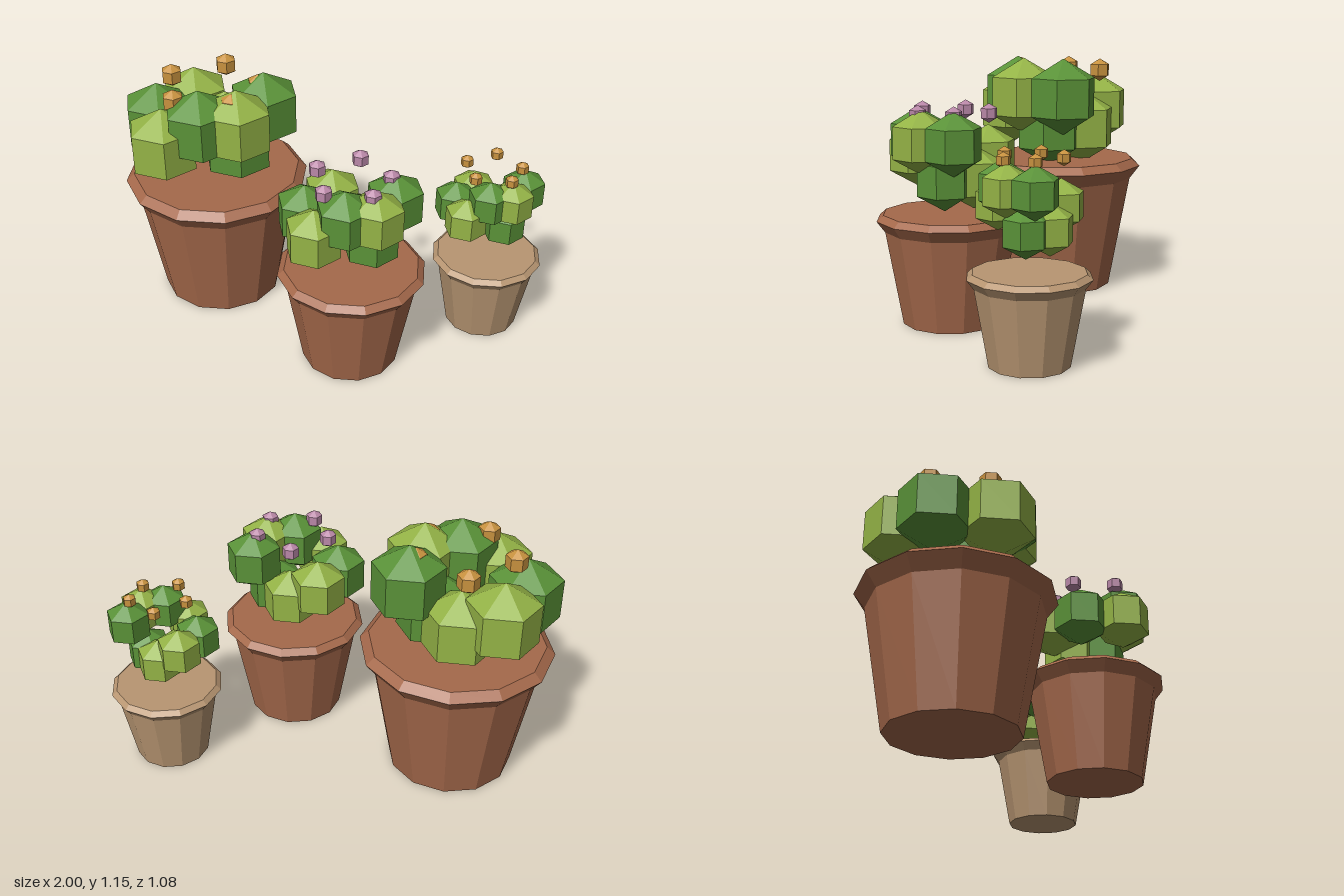
import * as THREE from 'three';

const mat = (name, color) => {
  const m = new THREE.MeshStandardMaterial({ color });
  m.name = name;
  return m;
};

// Faceted copy of a geometry: one normal per face
function faceted(geometry) {
  const g = geometry.toNonIndexed();
  g.computeVertexNormals();
  return g;
}

export function createModel() {
  const terracotta = mat('terracotta', 0xa5694b);
  const sandstone = mat('sandstone', 0xb8967240 >>> 8);
  const darkLeaf = mat('dark leaf', 0x5a9238);
  const lightLeaf = mat('light leaf', 0x94b346);
  const orange = mat('orange petal', 0xc8923f);
  const mauve = mat('mauve petal', 0xba88a8);

  // Closed twelve-sided pot with a bevelled rim, at full size
  const potGeometry = faceted(new THREE.LatheGeometry([
    [0, 0], [0.287, 0], [0.386, 0.55], [0.435, 0.615], [0.396, 0.65], [0, 0.65],
  ].map(([x, y]) => new THREE.Vector2(x, y)), 12));

  const clumpGeometry = faceted(new THREE.SphereGeometry(0.185, 6, 3));
  const budGeometry = faceted(new THREE.SphereGeometry(0.056, 6, 3));

  // Leaf clumps: x and z (scaled with the pot), drop below the top tier, colour
  const clumps = [
    [-0.187, -0.177, 0.088, lightLeaf],
    [-0.275, 0.035, 0.088, darkLeaf],
    [-0.137, 0.25, 0.088, lightLeaf],
    [0.018, 0.185, 0, darkLeaf],
    [0.175, 0.12, 0, lightLeaf],
    [0.22, -0.085, 0, darkLeaf],
    [-0.01, -0.138, 0.166, lightLeaf],
    [0.115, 0, 0.166, darkLeaf],
  ];

  // Five buds spaced round a ring
  const buds = [[-0.035, -0.222], [-0.224, -0.03], [-0.1, 0.197], [0.162, 0.14], [0.195, -0.08]];

  function pottedPlant(name, x, z, size, clay, petal, leafY, budY) {
    const plant = new THREE.Group();
    plant.name = name;
    plant.position.set(x, 0, z);
    const add = (part, geometry, material, px, py, pz) => {
      const mesh = new THREE.Mesh(geometry, material);
      mesh.name = part;
      mesh.scale.setScalar(size);
      mesh.position.set(px * size, py, pz * size);
      plant.add(mesh);
    };
    add('pot', potGeometry, clay, 0, 0, 0);
    clumps.forEach(([cx, cz, drop, leaf]) => add('leafClump', clumpGeometry, leaf, cx, leafY - drop, cz));
    buds.forEach(([bx, bz]) => add('flowerBud', budGeometry, petal, bx, budY, bz));
    return plant;
  }

  const model = new THREE.Group();
  model.name = 'pottedPlants';
  model.add(
    pottedPlant('largePlant', -0.565, -0.107, 1, terracotta, orange, 0.97, 1.088),
    pottedPlant('mediumPlant', 0.235, 0.205, 0.77, terracotta, mauve, 0.828, 0.945),
    pottedPlant('smallPlant', 0.743, -0.268, 0.588, sandstone, orange, 0.72, 0.836),
  );
  return model;
}
